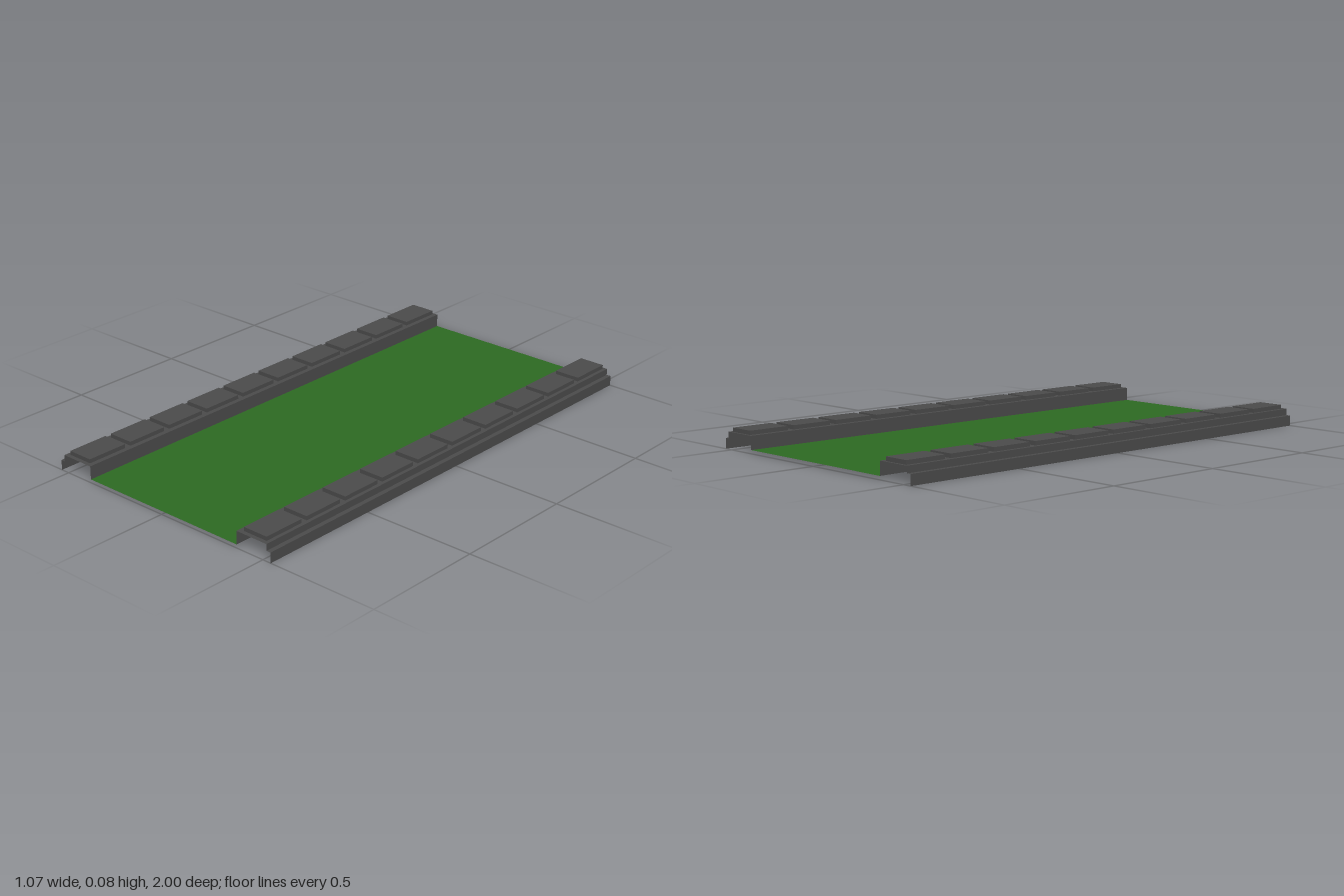
import * as THREE from 'three';

const LENGTH = 2, TOP = 0.067, LIP = 0.041, ROAD_Y = 0.014;
const INNER = 0.375, SHOULDER = 0.518, OUTER = 0.537;
const TILE = { x0: 0.395, x1: 0.503, height: 0.016, length: 0.173, count: 10, pitch: 0.2, start: -0.99 };

export function createModel() {
  const stone = new THREE.MeshStandardMaterial({ color: 0x4b4b4b, side: THREE.DoubleSide });
  stone.name = 'dark grey stone';
  const grass = new THREE.MeshStandardMaterial({ color: 0x2d6b22, side: THREE.DoubleSide });
  grass.name = 'green';

  const model = new THREE.Group();
  model.name = 'kerbedStrip';

  function add(parent, name, geometry, material) {
    const mesh = new THREE.Mesh(geometry, material);
    mesh.name = name;
    parent.add(mesh);
    return mesh;
  }

  // Horizontal sheet facing up
  const deck = (x0, x1, y) => new THREE.PlaneGeometry(x1 - x0, LENGTH)
    .rotateX(-Math.PI / 2).translate((x0 + x1) / 2, y, 0);
  // Vertical sheet running along z, facing +x or -x
  const wall = (x, y0, y1, facing) => new THREE.PlaneGeometry(LENGTH, y1 - y0)
    .rotateY(facing * Math.PI / 2).translate(x, (y0 + y1) / 2, 0);

  // Flat green surface between the kerbs
  add(model, 'groundStrip', deck(-INNER, INNER, ROAD_Y), grass);

  const tileCentres = Array.from({ length: TILE.count },
    (_, i) => TILE.start + i * TILE.pitch + TILE.length / 2);

  // Raised tile: a box without its underside
  const tileGeometry = new THREE.BoxGeometry(TILE.x1 - TILE.x0, TILE.height, TILE.length);
  const indices = Array.from(tileGeometry.index.array);
  indices.splice(18, 6);
  tileGeometry.setIndex(indices);
  tileGeometry.clearGroups();

  for (const side of [1, -1]) {
    const kerb = new THREE.Group();
    kerb.name = side > 0 ? 'leftKerb' : 'rightKerb';
    model.add(kerb);
    const span = (a, b) => (side > 0 ? [a, b] : [-b, -a]);

    // Stepped open profile
    add(kerb, 'innerWall', wall(side * INNER, ROAD_Y, TOP, -side), stone);
    add(kerb, 'upperOuterWall', wall(side * SHOULDER, LIP, TOP, side), stone);
    add(kerb, 'lip', deck(...span(SHOULDER, OUTER), LIP), stone);
    add(kerb, 'lowerOuterWall', wall(side * OUTER, 0, LIP, side), stone);

    // Kerb top, opened beneath each raised tile
    const rectangle = (target, [x0, x1], z0, z1) => target
      .moveTo(x0, -z0).lineTo(x1, -z0).lineTo(x1, -z1).lineTo(x0, -z1).closePath();
    const top = rectangle(new THREE.Shape(), span(INNER, SHOULDER), -1, 1);
    for (const z of tileCentres) {
      top.holes.push(rectangle(new THREE.Path(), span(TILE.x0, TILE.x1),
        z - TILE.length / 2, z + TILE.length / 2));
    }
    add(kerb, 'kerbTop', new THREE.ShapeGeometry(top)
      .rotateX(-Math.PI / 2).translate(0, TOP, 0), stone);

    // Row of raised tiles
    for (const z of tileCentres) {
      add(kerb, 'raisedTile', tileGeometry, stone)
        .position.set(side * (TILE.x0 + TILE.x1) / 2, TOP + TILE.height / 2, z);
    }
  }
  return model;
}
